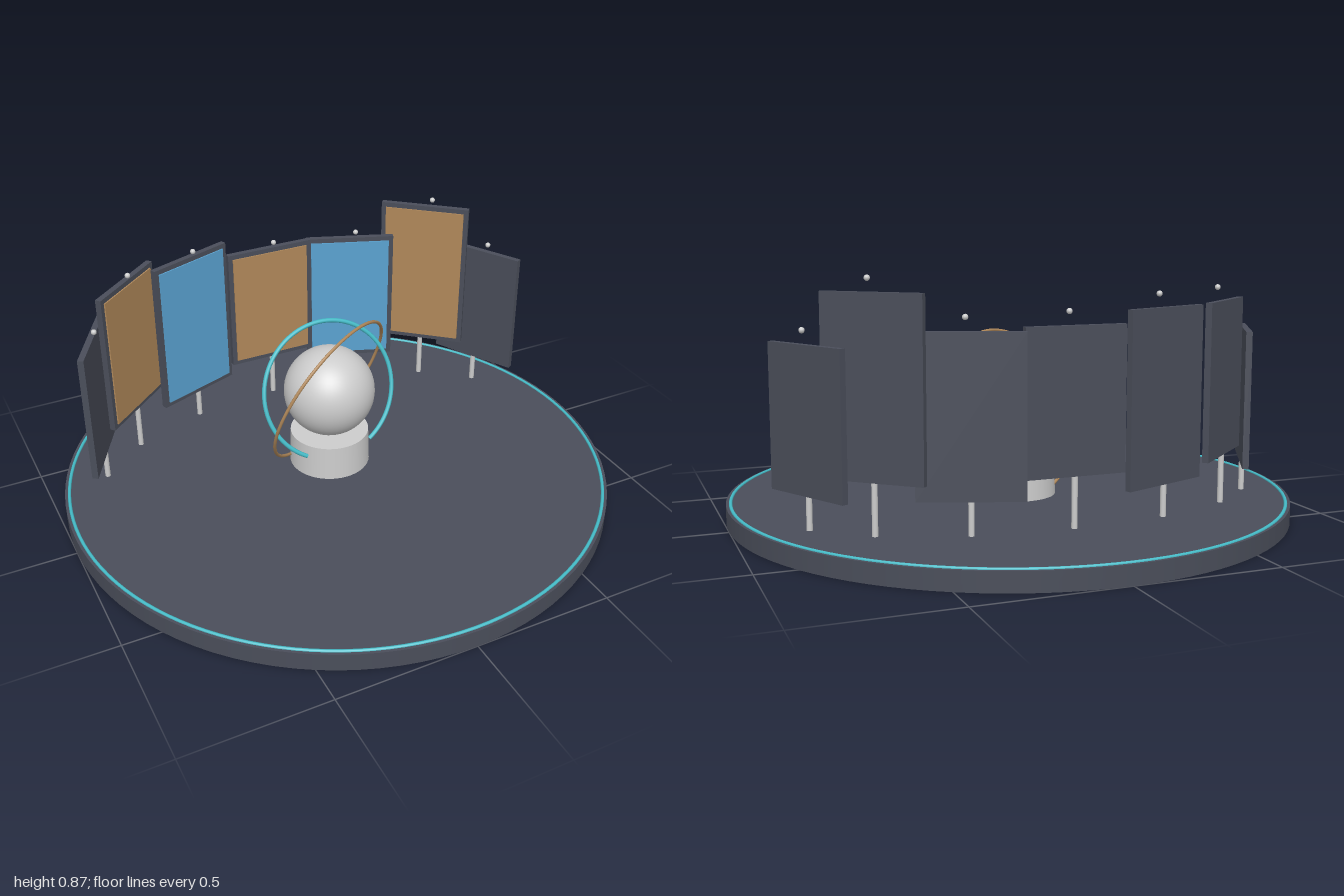
import * as THREE from 'three';

const material = (name, color) => {
  const m = new THREE.MeshStandardMaterial({ color });
  m.name = name;
  return m;
};

export function createModel() {
  const dark = material('dark slate', 0x4a4e5a);
  const blue = material('screen blue', 0x5aa2d0);
  const amber = material('amber', 0xb0885a);
  const pale = material('pale grey', 0xcccccc);
  const teal = material('teal', 0x45bcc8);

  const model = new THREE.Group();
  model.name = 'displayStage';
  const add = (parent, name, geometry, mat, x = 0, y = 0, z = 0) => {
    const mesh = new THREE.Mesh(geometry, mat);
    mesh.name = name;
    mesh.position.set(x, y, z);
    parent.add(mesh);
    return mesh;
  };

  // Round floor with a glowing rim line
  const floorTop = 0.065;
  add(model, 'floorDisc', new THREE.CylinderGeometry(1, 1, floorTop, 96), dark, 0, floorTop / 2, 0);
  add(model, 'rimLine', new THREE.TorusGeometry(0.984, 0.006, 8, 128), teal, 0, floorTop, 0)
    .rotation.x = Math.PI / 2;

  // Pedestal and globe
  const cz = -0.055, cy = 0.36;
  add(model, 'pedestal', new THREE.CylinderGeometry(0.145, 0.149, 0.13, 48), pale, 0, floorTop + 0.065, cz);
  add(model, 'globe', new THREE.SphereGeometry(0.167, 48, 32), pale, 0, cy, cz);

  // Open and closed orbit rings around the globe
  const openArc = Math.PI * 5 / 3;
  const openRing = new THREE.TorusGeometry(0.256, 0.008, 10, 80, openArc).rotateZ(-Math.PI / 3);
  add(model, 'openOrbitRing', openRing, teal, 0, cy, cz).rotation.x = -0.35;
  add(model, 'fullOrbitRing', new THREE.TorusGeometry(0.303, 0.006, 8, 96), amber, 0, cy, cz)
    .rotation.set(0.42, 0.47, 0);

  // Arc of panels: x, z, turn in degrees, bottom, top, face colour
  const panels = [
    [-0.79, -0.307, 62, 0.175, 0.655, null],
    [-0.615, -0.45, 41, 0.235, 0.767, amber],
    [-0.335, -0.553, 20.6, 0.175, 0.758, blue],
    [0, -0.585, 0, 0.235, 0.713, amber],
    [0.335, -0.553, -20.6, 0.175, 0.702, blue],
    [0.615, -0.45, -41, 0.235, 0.822, amber],
    [0.79, -0.307, -62, 0.175, 0.655, null],
  ];
  const width = 0.345, depth = 0.022, border = 0.018;
  for (const [x, z, turn, bottom, top, face] of panels) {
    const stand = new THREE.Group();
    stand.name = 'panelStand';
    stand.position.set(x, 0, z);
    model.add(stand);

    const panel = new THREE.Group();
    panel.name = 'panel';
    panel.rotation.y = THREE.MathUtils.degToRad(turn);
    stand.add(panel);
    const height = top - bottom, mid = (top + bottom) / 2;
    add(panel, 'panelBoard', new THREE.BoxGeometry(width, height, depth), dark, 0, mid, 0);
    if (face) {
      add(panel, 'panelFace', new THREE.BoxGeometry(width - 2 * border, height - 2 * border, 0.006),
        face, 0, mid, depth / 2 + 0.002);
    }

    // Support post and the small lamp hovering over the panel
    const postHeight = bottom + 0.01 - floorTop;
    add(stand, 'post', new THREE.CylinderGeometry(0.01, 0.01, postHeight, 12), pale, 0, floorTop + postHeight / 2, 0);
    add(stand, 'lamp', new THREE.SphereGeometry(0.01, 12, 8), pale, 0, top + 0.04, 0.05);
  }
  return model;
}
